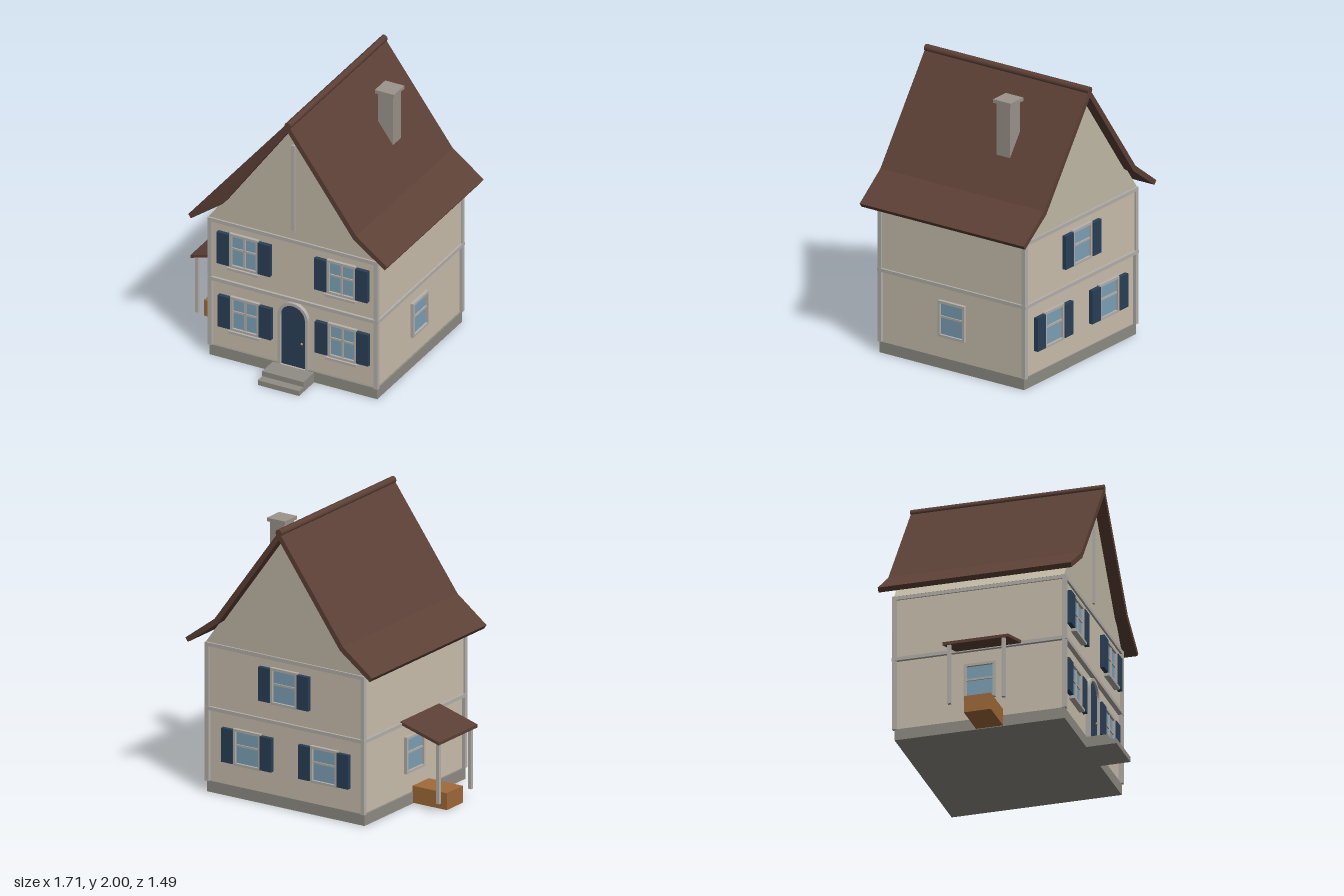
import * as THREE from 'three';

const mat = (color) => new THREE.MeshStandardMaterial({ color });
const CX = 0.092, CZ = -0.067; // centre of the house plan

export function createModel() {
  const house = new THREE.Group();
  house.name = 'house';
  const M = {
    wall: mat(0xcbc0ae), gable: mat(0xc2baa8), trim: mat(0xb5b1ab), stone: mat(0x8f8d84),
    roof: mat(0x5c4036), shutter: mat(0x2a4058), glass: mat(0x7da2b8),
    wood: mat(0xa06a38), chimney: mat(0x9c948c), brass: mat(0xc9a24a),
  };

  const add = (name, geometry, material, parent = house) => {
    const mesh = new THREE.Mesh(geometry, material);
    mesh.name = name;
    parent.add(mesh);
    return mesh;
  };
  // box given by its minimum and maximum on each axis
  const box = (name, m, [x0, x1], [y0, y1], [z0, z1], parent) => {
    const b = add(name, new THREE.BoxGeometry(x1 - x0, y1 - y0, z1 - z0), m, parent);
    b.position.set((x0 + x1) / 2, (y0 + y1) / 2, (z0 + z1) / 2);
    return b;
  };
  // outline in x and y, extruded from z0 to z1
  const slab = (name, m, shape, z0, z1, parent) => {
    const g = new THREE.ExtrudeGeometry(shape, { depth: z1 - z0, bevelEnabled: false, curveSegments: 16 });
    g.translate(0, 0, z0);
    return add(name, g, m, parent);
  };
  const polygon = (pts) => new THREE.Shape(pts.map(([x, y]) => new THREE.Vector2(x, y)));

  // Foundation and the two storeys
  box('foundation', M.stone, [-0.55, 0.732], [0, 0.08], [-0.663, 0.533]);
  box('lowerWalls', M.wall, [-0.536, 0.72], [0.08, 0.6], [-0.655, 0.515]);
  box('upperWalls', M.wall, [-0.545, 0.729], [0.6, 1.06], [-0.665, 0.528]);

  // Gable walls, filling the roof space
  slab('gable', M.gable, polygon([[-0.557, 1.06], [0.741, 1.06], [CX, 1.95]]), -0.665, 0.53);
  box('gableBeam', M.trim, [0.08, 0.105], [1.13, 1.79], [0.52, 0.543]);

  // Timber corner posts and horizontal bands
  for (const sx of [-1, 1]) for (const sz of [-1, 1]) {
    const x = CX + sx * 0.634, z = CZ + sz * 0.597;
    box('cornerPost', M.trim, [x - 0.015, x + 0.015], [0.08, 1.06], [z - 0.015, z + 0.015]);
  }
  const band = (name, y0, y1, out) => {
    for (const s of [-1, 1]) {
      const z = CZ + s * 0.597, x = CX + s * 0.634;
      box(name, M.trim, [-0.557, 0.741], [y0, y1], [z - out, z + out]);
      box(name, M.trim, [x - out, x + out], [y0, y1], [-0.679, 0.545]);
    }
  };
  band('storeyBand', 0.585, 0.61, 0.017);
  band('eavesBand', 1.035, 1.062, 0.013);

  // Flared roof: one bent profile, mirrored about the ridge
  const outer = [[-0.76, 1.09], [-0.523, 1.268], [0, 1.985]];
  const inner = [[0, 1.925], [-0.498, 1.238], [-0.74, 1.062]];
  const flip = (pts) => pts.map(([x, y]) => [-x, y]).reverse();
  const profile = [...outer, ...flip(outer).slice(1), ...flip(inner), ...inner.slice(1)];
  slab('roof', M.roof, polygon(profile.map(([x, y]) => [x + CX, y])), -0.745, 0.612);
  const ridge = add('ridgeCap', new THREE.CylinderGeometry(0.025, 0.025, 1.36, 12), M.roof);
  ridge.rotation.x = Math.PI / 2;
  ridge.position.set(CX, 1.975, -0.067);

  // Chimney
  box('chimneyShaft', M.chimney, [0.328, 0.442], [1.45, 1.885], [-0.337, -0.223]);
  box('chimneyCap', M.chimney, [0.312, 0.458], [1.88, 1.905], [-0.353, -0.207]);

  // Window facing local +z, centred on its own origin
  const makeWindow = (x, y, z, turn, { cross = false, sill = false, shutters = false } = {}) => {
    const w = new THREE.Group();
    w.name = 'window';
    const hw = 0.11, hh = 0.13, t = 0.018;
    box('glass', M.glass, [-hw + t, hw - t], [-hh + t, hh - t], [-0.01, 0.008], w);
    for (const s of [-1, 1]) {
      const fx = s * (hw - t / 2), fy = s * (hh - t / 2);
      box('frameSide', M.trim, [fx - t / 2, fx + t / 2], [-hh, hh], [-0.01, 0.024], w);
      box('frameRail', M.trim, [-hw + t, hw - t], [fy - t / 2, fy + t / 2], [-0.01, 0.024], w);
      if (shutters) {
        const sx = s * 0.157;
        box('shutter', M.shutter, [sx - 0.047, sx + 0.047], [-0.12, 0.12], [-0.01, 0.03], w);
      }
    }
    box('crossBar', M.trim, [-hw + t, hw - t], [0.008, 0.022], [0, 0.016], w);
    if (cross) box('mullion', M.trim, [-0.008, 0.008], [-hh + t, hh - t], [0, 0.016], w);
    if (sill) box('sill', M.trim, [-0.118, 0.118], [-0.146, -0.128], [-0.01, 0.04], w);
    w.position.set(x, y, z);
    w.rotation.y = turn;
    house.add(w);
  };
  const full = { cross: true, sill: true, shutters: true };
  for (const x of [-0.278, 0.465]) {
    makeWindow(x, 0.36, 0.515, 0, full);
    makeWindow(x, 0.855, 0.528, 0, full);
  }
  for (const x of [-0.226, 0.4]) makeWindow(x, 0.36, -0.655, Math.PI, { shutters: true });
  makeWindow(CX, 0.855, -0.665, Math.PI, { shutters: true });
  makeWindow(0.72, 0.36, -0.065, Math.PI / 2);
  makeWindow(-0.536, 0.36, -0.065, -Math.PI / 2);

  // Arched front door with its surround and knob
  const arch = (r, Type) => {
    const p = new Type();
    p.moveTo(CX - r, 0.08);
    p.lineTo(CX + r, 0.08);
    p.lineTo(CX + r, 0.455);
    p.absarc(CX, 0.455, r, 0, Math.PI, false);
    p.closePath();
    return p;
  };
  const surround = arch(0.115, THREE.Shape);
  surround.holes.push(arch(0.094, THREE.Path));
  slab('doorSurround', M.trim, surround, 0.505, 0.545);
  slab('door', M.shutter, arch(0.095, THREE.Shape), 0.505, 0.53);
  add('doorKnob', new THREE.SphereGeometry(0.008, 12, 8), M.brass).position.set(0.157, 0.27, 0.536);

  // Front steps
  box('lowerStep', M.stone, [-0.065, 0.25], [0, 0.037], [0.5, 0.745]);
  box('upperStep', M.stone, [-0.065, 0.25], [0.037, 0.075], [0.5, 0.682]);

  // Lean-to canopy with two posts and a wooden chest at the right side
  slab('canopyRoof', M.roof, polygon([[-0.857, 0.508], [-0.54, 0.598], [-0.54, 0.62], [-0.857, 0.53]]), -0.23, 0.23);
  for (const z of [-0.19, 0.19])
    box('canopyPost', M.trim, [-0.84, -0.816], [0.08, 0.52], [z - 0.012, z + 0.012]);
  box('woodenChest', M.wood, [-0.826, -0.548], [0.005, 0.125], [-0.09, 0.1]);

  return house;
}
